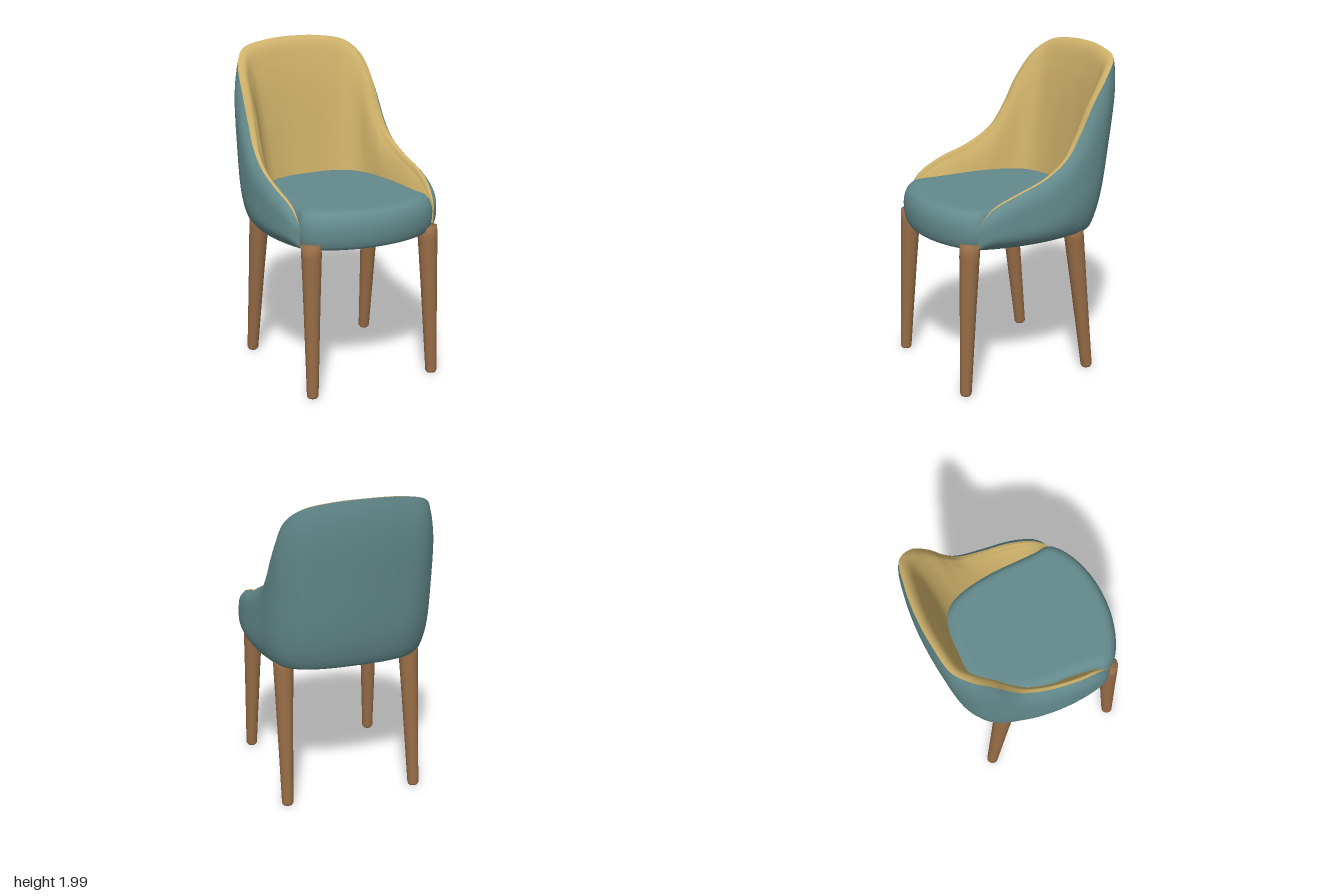
import * as THREE from 'three';
import { mergeVertices } from 'three/addons/utils/BufferGeometryUtils.js';

const V = (x, y, z) => new THREE.Vector3(x, y, z);

// Smooth surface from a grid of points f(u, row)
function loft(nu, rows, f) {
  const pos = [], idx = [];
  for (let j = 0; j < rows; j++)
    for (let i = 0; i <= nu; i++) pos.push(...f(i / nu, j).toArray());
  for (let j = 0; j < rows - 1; j++)
    for (let i = 0; i < nu; i++) {
      const a = j * (nu + 1) + i, c = a + nu + 1;
      idx.push(a, c, a + 1, a + 1, c, c + 1);
    }
  let g = new THREE.BufferGeometry();
  g.setAttribute('position', new THREE.Float32BufferAttribute(pos, 3));
  g.setIndex(idx);
  g = mergeVertices(g, 1e-4);
  g.computeVertexNormals();
  return g;
}

// Mirrored path: right front tip, around the back, to left front tip
function mirrored(half) {
  const pts = half.map(p => V(...p));
  const other = pts.slice(1).reverse().map(p => V(-p.x, p.y, p.z));
  return new THREE.CatmullRomCurve3([...other, ...pts]);
}

// Half paths from centre back to front tip
const rim = mirrored([
  [0, 1.99, -0.59], [0.2, 1.98, -0.575], [0.36, 1.945, -0.54], [0.435, 1.86, -0.45],
  [0.46, 1.7, -0.335], [0.465, 1.54, -0.25], [0.475, 1.4, -0.155], [0.49, 1.3, 0],
  [0.495, 1.23, 0.2], [0.475, 1.16, 0.35], [0.455, 1.06, 0.44],
]);
const base = mirrored([
  [0, 0.94, -0.455], [0.2, 0.94, -0.445], [0.34, 0.94, -0.41], [0.43, 0.94, -0.34],
  [0.47, 0.94, -0.26], [0.49, 0.94, -0.18], [0.51, 0.94, -0.08], [0.52, 0.94, 0.06],
  [0.51, 0.94, 0.21], [0.485, 0.94, 0.34], [0.455, 0.93, 0.435],
]);
const inner = mirrored([
  [0, 1.05, -0.36], [0.15, 1.05, -0.355], [0.26, 1.05, -0.32], [0.33, 1.05, -0.25],
  [0.365, 1.05, -0.16], [0.38, 1.05, -0.08], [0.39, 1.05, 0], [0.395, 1.05, 0.1],
  [0.39, 1.05, 0.22], [0.4, 1.0, 0.35], [0.45, 0.93, 0.435],
]);

// Horizontal outward direction of the shell, and its fade at the tips
function outward(u) {
  const a = base.getPoint(Math.max(0, u - 0.01)), b = base.getPoint(Math.min(1, u + 0.01));
  return V(b.z - a.z, 0, a.x - b.x).normalize();
}
const fade = u => 1 - Math.pow(Math.abs(2 * u - 1), 24);

function outerPoint(u, j) {
  const b = base.getPoint(u), n = outward(u);
  if (j === 0) return V(b.x * 0.6, 0.918, b.z * 0.6);
  if (j === 1) return b.addScaledVector(n, -0.02).setY(0.918);
  const t = (j - 2) / 20;
  const bulge = 0.04 * (1 - Math.pow(2 * t - 1, 4)) * fade(u);
  return b.lerp(rim.getPoint(u), t).addScaledVector(n, bulge);
}

function innerPoint(u, j) {
  const r = rim.getPoint(u), b = inner.getPoint(u);
  const t = Math.pow(j / 24, 1.8);
  const size = 0.055 * Math.min(1, (r.y - b.y) / 0.8 + 0.1) * fade(u);
  const pad = Math.sin(Math.PI * Math.pow(t, 0.45));
  const p = r.lerp(b, t).addScaledVector(outward(u), -size * pad);
  p.y += 0.012 * fade(u) * Math.sin(Math.PI * Math.min(1, t * 8));
  return p;
}

// Cushion plan, half from centre back to centre front
const plan = [
  [0, -0.41], [0.17, -0.4], [0.3, -0.34], [0.38, -0.2], [0.42, 0], [0.43, 0.2],
  [0.435, 0.35], [0.445, 0.43], [0.4, 0.495], [0.29, 0.56], [0.15, 0.602], [0, 0.615],
];
const cushionPlan = new THREE.CatmullRomCurve3([
  ...plan.map(([x, z]) => V(x, 0, z)),
  ...plan.slice(1, -1).reverse().map(([x, z]) => V(-x, 0, z)),
], true);
// Cushion rings: scale about the middle, height
const rings = [
  [0, 0.912], [0.9, 0.912], [0.955, 0.918], [0.98, 0.94], [0.995, 0.98], [1, 1.03],
  [0.99, 1.07], [0.965, 1.105], [0.925, 1.13], [0.87, 1.14], [0.8, 1.14], [0, 1.14],
];
function cushionPoint(u, j) {
  const p = cushionPlan.getPoint(u), [s, y] = rings[j];
  return V(p.x * s, y, 0.1 + (p.z - 0.1) * s);
}

export function createModel() {
  const group = new THREE.Group();
  const material = (name, color) => {
    const m = new THREE.MeshStandardMaterial({ color });
    m.name = name;
    return m;
  };
  const teal = material('teal fabric', 0x648b8d);
  const yellow = material('mustard fabric', 0xcdb069);
  const wood = material('brown wood', 0x976c46);
  teal.side = yellow.side = THREE.DoubleSide;

  const add = (name, geometry, mat) => {
    const mesh = new THREE.Mesh(geometry, mat);
    mesh.name = name;
    group.add(mesh);
    return mesh;
  };

  add('outerShell', loft(120, 23, outerPoint), teal);
  add('innerLining', loft(120, 25, innerPoint), yellow);
  add('seatCushion', loft(96, rings.length, cushionPoint), teal);

  // Tapered, splayed legs with softly rounded feet
  const addLeg = (name, top, foot) => {
    const dir = top.clone().sub(foot);
    const len = dir.length();
    const profile = [[0, 0], [0.028, 0], [0.035, 0.012], [0.05, len * 0.6], [0.06, len * 0.92], [0.06, len], [0, len]];
    const leg = add(name, new THREE.LatheGeometry(profile.map(([x, y]) => new THREE.Vector2(x, y)), 24), wood);
    leg.position.copy(foot);
    leg.quaternion.setFromUnitVectors(V(0, 1, 0), dir.normalize());
  };
  for (const [side, s] of [['left', 1], ['right', -1]]) {
    addLeg(side + 'FrontLeg', V(s * 0.395, 0.95, 0.463), V(s * 0.415, 0.005, 0.51));
    addLeg(side + 'BackLeg', V(s * 0.4, 0.95, -0.245), V(s * 0.415, 0.005, -0.353));

    // Lining edge showing under the back of the seat
    const strip = add(side + 'LiningEdge', new THREE.BoxGeometry(0.14, 0.008, 0.03), yellow);
    strip.position.set(s * 0.24, 0.911, -0.37);
    strip.rotation.y = -s * 0.35;
  }
  return group;
}
